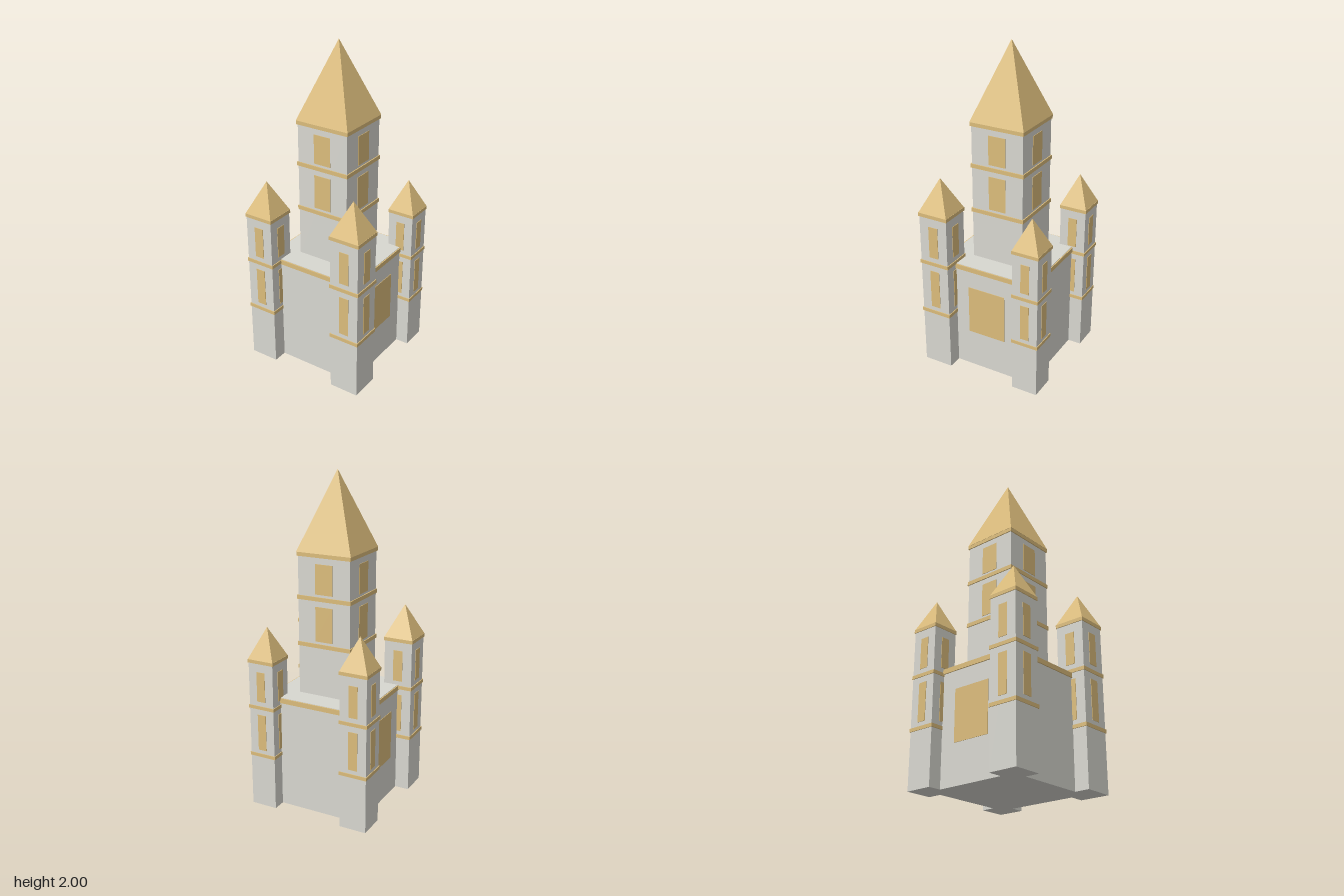
import * as THREE from 'three';

const stone = new THREE.MeshStandardMaterial({ color: 0xd8d7d0 });
stone.name = 'paleStone';
const gold = new THREE.MeshStandardMaterial({ color: 0xdbbc7b });
gold.name = 'sandGold';

function add(parent, name, geometry, material, x = 0, y = 0, z = 0) {
  const mesh = new THREE.Mesh(geometry, material);
  mesh.name = name;
  mesh.position.set(x, y, z);
  parent.add(mesh);
  return mesh;
}

// Square block of given half width between two heights
function block(parent, name, half, y0, y1, material) {
  return add(parent, name, new THREE.BoxGeometry(half * 2, y1 - y0, half * 2), material, 0, (y0 + y1) / 2, 0);
}

// Four-sided roof with flat faces
function roof(parent, half, y0, y1) {
  const indexed = new THREE.ConeGeometry(half * Math.SQRT2, y1 - y0, 4, 1);
  indexed.rotateY(Math.PI / 4);
  const geometry = indexed.toNonIndexed();
  geometry.computeVertexNormals();
  add(parent, 'roof', geometry, gold, 0, (y0 + y1) / 2, 0);
}

// Thin window plates on the chosen sides (0 front, 1 left, 2 back, 3 right)
function windows(parent, half, width, y0, y1, sides = [0, 1, 2, 3]) {
  for (const side of sides) {
    const angle = side * Math.PI / 2;
    const plate = add(parent, 'window', new THREE.BoxGeometry(width, y1 - y0, 0.006), gold,
      Math.sin(angle) * half, (y0 + y1) / 2, Math.cos(angle) * half);
    plate.rotation.y = angle;
  }
}

// Corner tower, scaled separately in width and height
function cornerTower(name, x, z, w, h) {
  const tower = new THREE.Group();
  tower.name = name;
  tower.position.set(x, 0, z);
  block(tower, 'towerBody', 0.092 * w, 0, 1.003 * h, stone);
  for (const y of [0.365, 0.7, 1.01]) {
    block(tower, 'towerBand', 0.097 * w, (y - 0.011) * h, (y + 0.011) * h, gold);
  }
  windows(tower, 0.092 * w, 0.062 * w, 0.403 * h, 0.65 * h);
  windows(tower, 0.092 * w, 0.062 * w, 0.742 * h, 0.943 * h);
  roof(tower, 0.0955 * w, 1.021 * h, 1.223 * h);
  return tower;
}

export function createModel() {
  const castle = new THREE.Group();
  castle.name = 'castle';

  // Main hall with a narrow cornice and two large side windows
  const hall = new THREE.Group();
  hall.name = 'hall';
  hall.position.set(-0.002, 0, -0.006);
  block(hall, 'hallBody', 0.302, 0, 0.692, stone);
  block(hall, 'hallCornice', 0.309, 0.66, 0.689, gold);
  windows(hall, 0.302, 0.245, 0.24, 0.55, [1, 3]);
  castle.add(hall);

  // Central keep
  const keep = new THREE.Group();
  keep.name = 'keep';
  keep.position.set(-0.002, 0, -0.006);
  block(keep, 'keepBody', 0.167, 0.68, 1.54, stone);
  for (const y of [1.0, 1.281, 1.534]) {
    block(keep, 'keepBand', 0.173, y - 0.012, y + 0.012, gold);
  }
  windows(keep, 0.167, 0.11, 1.027, 1.235);
  windows(keep, 0.167, 0.11, 1.308, 1.485);
  roof(keep, 0.1745, 1.545, 2.0);
  castle.add(keep);

  // Corner towers, each slightly different in size
  castle.add(cornerTower('frontLeftTower', 0.298, 0.295, 1, 1));
  castle.add(cornerTower('frontRightTower', -0.303, 0.295, 0.967, 0.967));
  castle.add(cornerTower('backRightTower', -0.303, -0.308, 0.9, 0.94));
  castle.add(cornerTower('backLeftTower', 0.299, -0.308, 0.88, 0.912));
  return castle;
}
